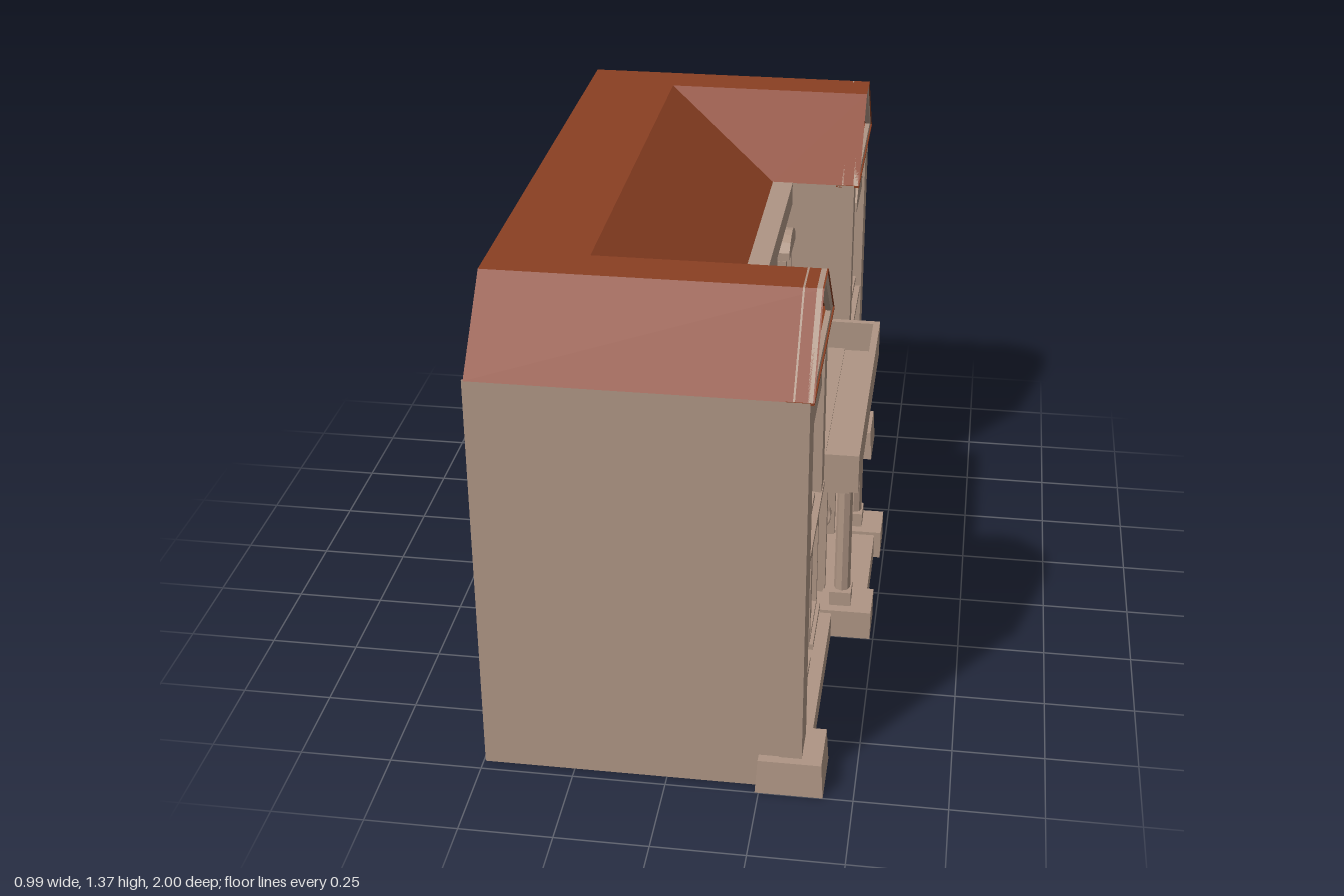
import * as THREE from 'three';

const mat = (name, color) => {
  const m = new THREE.MeshStandardMaterial({ color, side: THREE.DoubleSide });
  m.name = name;
  return m;
};

export function createModel() {
  const stone = mat('stone', 0xae9584);
  const tile = mat('roofTile', 0x8a3f22);
  const glass = mat('glass', 0x255b6c);
  const wood = mat('doorWood', 0x3c3b35);
  const model = new THREE.Group();
  model.name = 'townhouse';

  const add = (name, geo, m) => {
    const mesh = new THREE.Mesh(geo, m);
    mesh.name = name;
    model.add(mesh);
    return mesh;
  };
  // box given by its limits on each axis
  const box = (name, m, x0, x1, y0, y1, za, zb) => {
    const b = add(name, new THREE.BoxGeometry(x1 - x0, y1 - y0, Math.abs(zb - za)), m);
    b.position.set((x0 + x1) / 2, (y0 + y1) / 2, (za + zb) / 2);
    return b;
  };
  // flat outline in the facade plane (z, y), given depth towards +x
  const slab = (name, m, shape, x0, x1) => {
    const g = new THREE.ExtrudeGeometry(shape, { depth: x1 - x0, bevelEnabled: false, curveSegments: 6 });
    g.rotateY(Math.PI / 2).translate(x0, 0, 0);
    return add(name, g, m);
  };
  const poly = (pts, Kind = THREE.Shape) => new Kind(pts.map(([z, y]) => new THREE.Vector2(-z, y)));
  // upright opening with a curved head; rise 0 gives a rectangle
  const arch = (z, half, y0, y1, rise, Kind = THREE.Shape) => {
    const s = new Kind();
    s.moveTo(-z - half, y0);
    s.lineTo(-z + half, y0);
    s.lineTo(-z + half, y1 - rise);
    if (rise) s.quadraticCurveTo(-z, y1 + rise, -z - half, y1 - rise);
    else s.lineTo(-z - half, y1);
    s.closePath();
    return s;
  };
  // frame, pane and centre mullion on a wall at x
  const windowUnit = (name, x, z, half, y0, y1, rise, border) => {
    const f = arch(z, half + border, y0 - border, y1 + border, rise);
    f.holes.push(arch(z, half, y0, y1, rise, THREE.Path));
    slab(name + 'Frame', stone, f, x, x + 0.025);
    slab(name + 'Glass', glass, arch(z, half, y0, y1, rise), x + 0.001, x + 0.006);
    box(name + 'Mullion', stone, x, x + 0.018, y0, y1 - rise * 0.15, z - 0.013, z + 0.013);
    box(name + 'Sill', stone, x, x + 0.035, y0 - border - 0.012, y0 - border + 0.006, z - half - border, z + half + border);
  };

  const C = -0.01;   // axis of the main body
  const D = -0.043;  // axis of the entrance
  const H = 1.365, E = 1.154;

  // lower facade
  box('lowerWall', stone, 0.3, 0.31, 0, 0.62, C - 0.97, C + 0.97);
  box('baseCourse', stone, 0.3, 0.375, 0, 0.08, C - 0.86, C + 0.86);
  box('porchSlab', stone, 0.31, 0.47, 0, 0.08, D - 0.29, D + 0.29);
  box('frieze', stone, 0.31, 0.33, 0.483, 0.536, C - 0.86, C + 0.86);
  box('belt', stone, 0.29, 0.345, 0.536, 0.62, C - 0.86, C + 0.86);

  // recessed upper centre wall, cornice and balcony
  box('upperCentreWall', stone, 0.14, 0.15, 0.6, 1.1, C - 0.43, C + 0.43);
  box('centreFrieze', stone, 0.14, 0.16, 1.055, 1.085, C - 0.43, C + 0.43);
  box('centreCornice', stone, 0.11, 0.17, 1.085, 1.155, C - 0.43, C + 0.43);
  box('balconyFloor', stone, 0.14, 0.45, 0.595, 0.615, C - 0.43, C + 0.43);
  box('balconyMoulding', stone, 0.31, 0.425, 0.57, 0.595, C - 0.395, C + 0.395);
  box('balconyFront', stone, 0.43, 0.45, 0.595, 0.71, C - 0.43, C + 0.43);

  for (const s of [1, -1]) {
    const b = d => C + s * d, e = d => D + s * d;
    // wing walls and pilasters
    box('sideWall', stone, -0.495, 0.31, 0, E, b(0.972), b(0.977));
    box('wingWall', stone, 0.3, 0.31, 0.6, E, b(0.43), b(0.97));
    box('wingInnerWall', stone, 0.11, 0.35, 0.6, E, b(0.43), b(0.438));
    box('cornerPilaster', stone, 0.3, 0.36, 0, E, b(0.865), b(0.98));
    box('innerPilaster', stone, 0.3, 0.355, 0.62, E, b(0.43), b(0.5));
    box('wingLintel', stone, 0.3, 0.335, 1.11, E, b(0.5), b(0.865));
    box('wingLedge', stone, 0.3, 0.357, 0.612, 0.63, b(0.43), b(0.865));
    box('balconySide', stone, 0.14, 0.45, 0.595, 0.71, b(0.41), b(0.43));

    // corner plinth, slightly tapered
    const p = box('cornerPlinth', stone, 0.24, 0.42, 0, 0.1, s * 0.828, s * 1.0);
    const pos = p.geometry.attributes.position;
    for (let i = 0; i < pos.count; i++) if (pos.getY(i) > 0) {
      pos.setX(i, pos.getX(i) * 0.93);
      pos.setZ(i, pos.getZ(i) * 0.93);
    }
    p.geometry.computeVertexNormals();

    // gable: recessed panel, raised frame, tiled soffit
    const outer = [[b(0.98), E], [b(0.78), H], [b(0.66), H], [b(0.43), E]];
    const inner = [[b(0.925), E + 0.022], [b(0.765), H - 0.03], [b(0.68), H - 0.03], [b(0.5), E + 0.022]];
    const frame = poly(outer);
    frame.holes.push(poly(inner, THREE.Path));
    slab('gableFrame', stone, frame, 0.352, 0.366);
    slab('gablePanel', stone, poly(outer), 0.318, 0.323);
    box('gableSoffit', tile, 0.3, 0.37, E - 0.006, E + 0.001, b(0.43), b(0.98));

    // upper windows with curved hoods
    windowUnit('wingWindow', 0.31, b(0.704), 0.09, 0.7, 0.985, 0, 0.018);
    box('wingWindowApron', stone, 0.31, 0.33, 0.655, 0.685, b(0.704 - 0.1), b(0.704 + 0.1));
    slab('wingWindowHood', stone, arch(b(0.704), 0.113, 1.003, 1.083, 0.048), 0.31, 0.355);
    const zc = -0.035 + s * 0.276;
    windowUnit('centreWindow', 0.15, zc, 0.071, 0.75, 0.975, 0, 0.013);
    slab('centreWindowHood', stone, arch(zc, 0.086, 0.99, 1.056, 0.04), 0.15, 0.185);

    // lower arched windows
    windowUnit('largeArchedWindow', 0.31, e(0.452), 0.09, 0.165, 0.48, 0.06, 0.02);
    windowUnit('smallArchedWindow', 0.31, e(0.722), 0.07, 0.17, 0.395, 0.05, 0.014);

    // porch column on its plinth
    const cz = e(0.227);
    box('porchPlinth', stone, 0.34, 0.49, 0, 0.09, cz - 0.066, cz + 0.066);
    box('columnBase', stone, 0.365, 0.428, 0.09, 0.135, cz - 0.036, cz + 0.036);
    const col = add('column', new THREE.CylinderGeometry(0.022, 0.024, 0.44, 8).toNonIndexed(), stone);
    col.geometry.computeVertexNormals();
    col.position.set(0.4, 0.352, cz);
    box('columnCapital', stone, 0.368, 0.428, 0.57, 0.596, cz - 0.034, cz + 0.034);
    box('doorJamb', stone, 0.31, 0.345, 0.08, 0.545, e(0.15), e(0.18));

    // door leaf with glazed panel and handle
    box('doorLeaf', wood, 0.3, 0.32, 0.08, 0.525, e(0.002), e(0.15));
    box('doorGlass', glass, 0.32, 0.324, 0.322, 0.49, e(0.02), e(0.133));
    const curve = new THREE.CatmullRomCurve3([[0.32, 0.275, 0.018], [0.338, 0.262, 0.008], [0.338, 0.225, 0.018], [0.32, 0.205, 0.008]]
      .map(([x, y, d]) => new THREE.Vector3(x, y, e(d))));
    add('doorHandle', new THREE.TubeGeometry(curve, 10, 0.004, 5), stone);
  }
  box('doorHead', stone, 0.31, 0.345, 0.525, 0.545, D - 0.18, D + 0.18);

  // arched niche above the balcony
  const niche = arch(D, 0.147, 0.61, 1.018, 0.03);
  niche.holes.push(arch(D, 0.09, 0.612, 0.985, 0.06, THREE.Path));
  slab('nicheSurround', stone, niche, 0.15, 0.215);
  const rim = arch(D, 0.075, 0.79, 0.945, 0.05);
  rim.holes.push(arch(D, 0.066, 0.799, 0.936, 0.045, THREE.Path));
  slab('grilleRim', stone, rim, 0.15, 0.175);
  box('grilleBar', stone, 0.152, 0.172, 0.79, 0.94, D - 0.005, D + 0.005);
  box('grilleRail', stone, 0.152, 0.17, 0.815, 0.822, D - 0.07, D + 0.07);
  box('nicheLedge', stone, 0.15, 0.175, 0.762, 0.772, D - 0.035, D + 0.035);
  for (const s of [1, -1]) for (const [y, r] of [[0.895, 0.026], [0.845, 0.021]]) {
    const scroll = add('grilleScroll', new THREE.TorusGeometry(r, 0.005, 5, 14, Math.PI * 1.6), stone);
    scroll.rotation.set(0, Math.PI / 2, s * 0.6);
    scroll.position.set(0.165, y, D + s * 0.034);
  }

  // U-shaped roof with flat crown, sloping down to the centre cornice
  const [x0, xv, xe, x1] = [-0.49, -0.23, 0.11, 0.37];
  const tri = [];
  const face = (...p) => {
    for (let i = 1; i < p.length - 1; i++) tri.push(...p[0], ...p[i], ...p[i + 1]);
  };
  for (const s of [1, -1]) {
    const z = d => C + s * d;
    const quad = (...p) => face(...(s > 0 ? p : p.reverse()));
    quad([x0, E, z(0.98)], [x1, E, z(0.98)], [x1, H, z(0.78)], [x0, H, z(0.78)]);
    quad([x0, H, z(0.78)], [x1, H, z(0.78)], [x1, H, z(0.66)], [x0, H, z(0.66)]);
    quad([xv, H, z(0.66)], [x1, H, z(0.66)], [x1, E, z(0.43)], [xe, E, z(0.43)]);
  }
  face([x0, H, C + 0.66], [xv, H, C + 0.66], [xv, H, C - 0.66], [x0, H, C - 0.66]);
  face([xv, H, C + 0.66], [xe, E, C + 0.43], [xe, E, C - 0.43], [xv, H, C - 0.66]);
  // rear end of the roof
  const k = [x0, 1.24, 0.41];
  face(k, [x0, E, C + 0.98], [x0, H, C + 0.78], [x0, H, C - 0.78], [x0, E, C - 0.98]);
  const roof = new THREE.BufferGeometry();
  roof.setAttribute('position', new THREE.Float32BufferAttribute(tri, 3));
  roof.computeVertexNormals();
  add('roof', roof, tile);

  return model;
}
